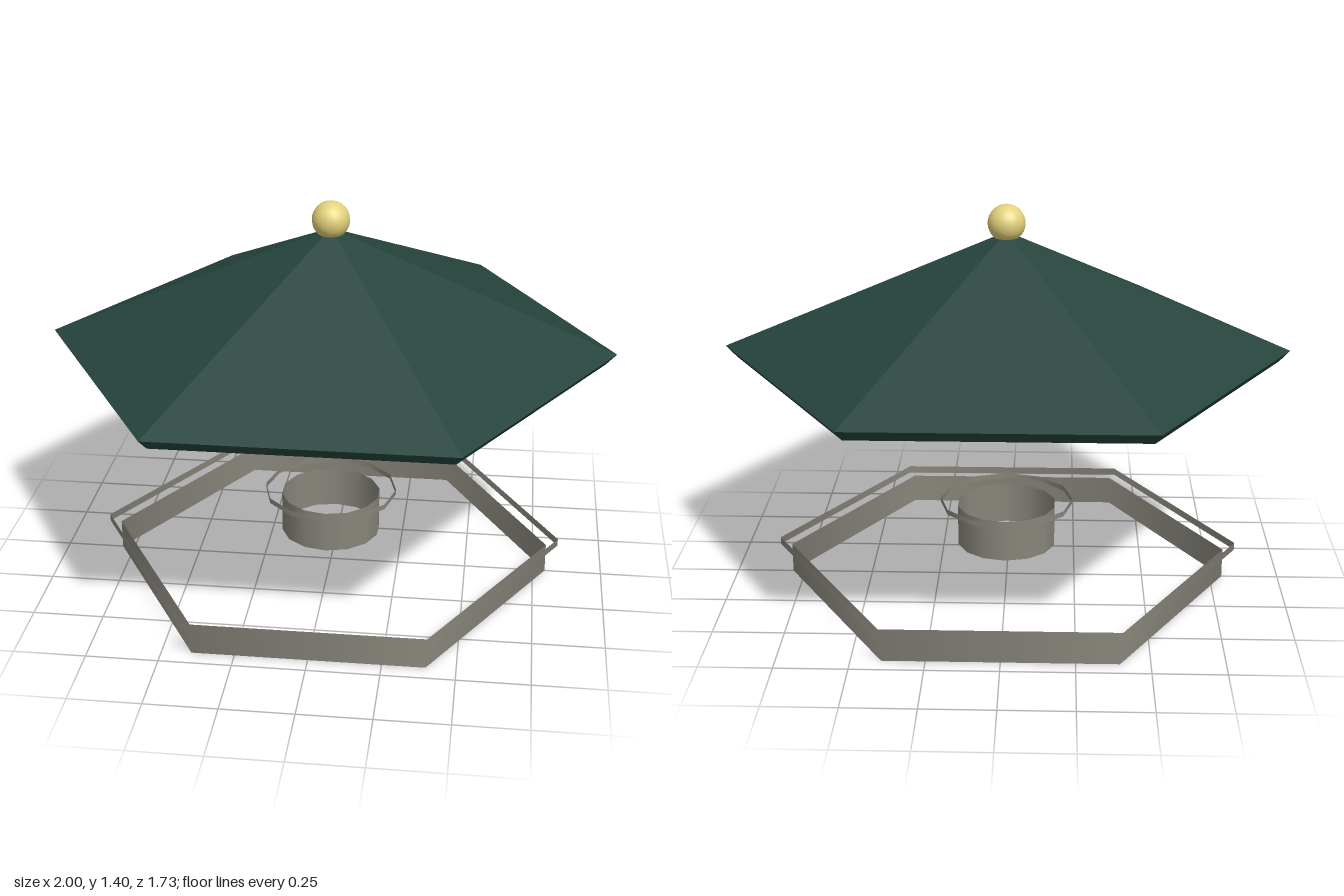
import * as THREE from 'three';

const mat = (name, color, extra = {}) => {
  const m = new THREE.MeshStandardMaterial({ color, ...extra });
  m.name = name;
  return m;
};

export function createModel() {
  const group = new THREE.Group();
  const green = mat('roofGreen', 0x26443d, { flatShading: true });
  const red = mat('undersideRed', 0xae231b);
  const stone = mat('stone', 0x88857b, { side: THREE.DoubleSide });
  const gold = mat('gold', 0xe3d27c);

  const add = (name, geometry, material, y = 0) => {
    const mesh = new THREE.Mesh(geometry, material);
    mesh.name = name;
    mesh.position.y = y;
    group.add(mesh);
  };

  // Open prism wall between two heights, with a corner at the start angle
  const wall = (name, material, bottomRadius, topRadius, y0, y1, sides, start = Math.PI / 2) =>
    add(name, new THREE.CylinderGeometry(topRadius, bottomRadius, y1 - y0, sides, 1, true, start),
      material, (y0 + y1) / 2);

  // Hollow six-sided base with its overhanging rim
  wall('baseWall', stone, 0.795, 0.795, 0, 0.108, 6);
  wall('baseRim', stone, 0.837, 0.837, 0.108, 0.135, 6);

  // Central pedestal and its collar
  wall('pedestal', stone, 0.18, 0.18, 0.135, 0.285, 14, 0);
  wall('pedestalCollar', stone, 0.24, 0.24, 0.285, 0.304, 12);

  // Six-sided roof, sloping eave and flat ceiling
  wall('roof', green, 1, 0, 0.877, 1.3, 6);
  wall('roofEave', green, 0.963, 1, 0.838, 0.877, 6);
  const ceiling = new THREE.CircleGeometry(0.963, 6);
  ceiling.rotateX(Math.PI / 2);
  add('ceiling', ceiling, red, 0.838);

  // Ball on the peak
  add('finial', new THREE.SphereGeometry(0.066, 20, 14), gold, 1.33);

  return group;
}
